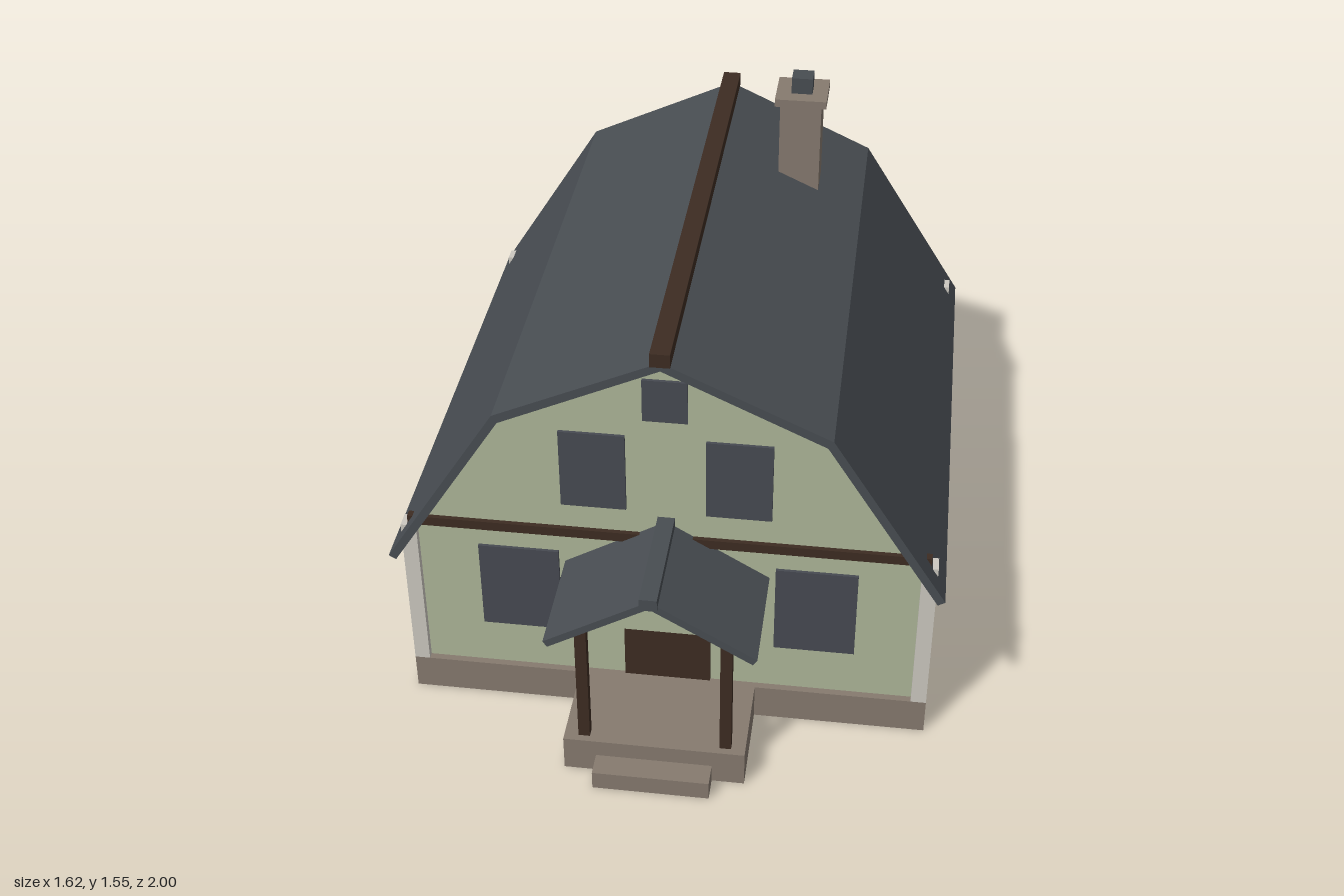
import * as THREE from 'three';

const mat = (name, color, side = THREE.FrontSide) => {
  const m = new THREE.MeshStandardMaterial({ color, side });
  m.name = name;
  return m;
};

export function createModel() {
  const house = new THREE.Group();
  house.name = 'house';
  const green = mat('wall green', 0xadb698);
  const slate = mat('roof slate', 0x484d52);
  const glass = mat('window glass', 0x474a52);
  const stone = mat('stone', 0x867a6f, THREE.DoubleSide);
  const wood = mat('dark wood', 0x3d2c22);
  const trim = mat('pale trim', 0xccc8c0);

  const add = (name, geometry, material) => {
    const mesh = new THREE.Mesh(geometry, material);
    mesh.name = name;
    house.add(mesh);
    return mesh;
  };

  // Box given by its limits on each axis
  const box = (name, material, x0, x1, y0, y1, z0, z1) => {
    const g = new THREE.BoxGeometry(x1 - x0, y1 - y0, z1 - z0);
    g.translate((x0 + x1) / 2, (y0 + y1) / 2, (z0 + z1) / 2);
    return add(name, g, material);
  };

  // Box without its bottom face
  const shell = (...args) => {
    const g = box(...args).geometry;
    const index = Array.from(g.index.array);
    index.splice(18, 6);
    g.setIndex(index);
    g.clearGroups();
  };

  // Profile in x and y, extruded along z
  const prism = (name, material, points, z0, z1) => {
    const shape = new THREE.Shape(points.map(([x, y]) => new THREE.Vector2(x, y)));
    const g = new THREE.ExtrudeGeometry(shape, { depth: z1 - z0, bevelEnabled: false });
    add(name, g.translate(0, 0, z0), material);
  };

  // Closes a right half profile with its mirror image
  const mirrored = (half) => [
    ...half,
    ...half.filter(([x]) => x > 0).reverse().map(([x, y]) => [-x, y]),
  ];

  // Roof outline: outer half from ridge to eave, inner half back to ridge
  const roofProfile = (outer, inner) => {
    const flip = (list) => list.slice(1).map(([x, y]) => [-x, y]);
    return [...flip(outer).reverse(), ...outer, ...[...inner].reverse(), ...flip(inner)];
  };

  // Foundation, porch floor and step
  shell('foundation', stone, -0.785, 0.785, 0, 0.115, -0.928, 0.643);
  shell('porchFloor', stone, -0.268, 0.268, 0, 0.115, 0.643, 0.928);
  shell('frontStep', stone, -0.172, 0.172, 0, 0.06, 0.928, 1.0);

  // Walls with both gables
  const front = 0.622, back = -0.91, side = 0.77;
  prism('walls', green, mirrored([
    [side, 0.115], [side, 0.594], [0.457, 1.086], [0, 1.299],
  ]), back, front);

  // Main gambrel roof and ridge beam
  prism('mainRoof', slate, roofProfile(
    [[0, 1.325], [0.472, 1.108], [0.81, 0.573]],
    [[0, 1.298], [0.457, 1.085], [0.789, 0.56]],
  ), -0.99, 0.706);
  box('ridgeBeam', wood, -0.028, 0.028, 1.315, 1.357, -1.0, 0.714);

  // Corner boards and the beam across the front
  for (const s of [-1, 1]) {
    for (const z of [0.618, -0.903]) {
      const x = s * 0.762;
      box('cornerPost', trim, x - 0.023, x + 0.023, 0.115, 0.64, z - 0.025, z + 0.025);
    }
  }
  box('frontBeam', wood, -0.765, 0.765, 0.64, 0.67, 0.612, 0.636);

  // Windows
  const t = 0.009;
  for (const s of [-1, 1]) {
    const pane = (c, w, y0, y1, z) =>
      box('window', glass, s * c - w / 2, s * c + w / 2, y0, y1, z, z + t);
    pane(0.44, 0.24, 0.275, 0.575, front);
    pane(0.21, 0.19, 0.755, 1.015, front);
    pane(0.385, 0.24, 0.275, 0.575, back - t);
    pane(0.21, 0.19, 0.755, 1.015, back - t);
    for (const z of [0.202, -0.488]) {
      const x = s * (side + t / 2);
      box('sideWindow', glass, x - t / 2, x + t / 2, 0.275, 0.575, z - 0.113, z + 0.113);
    }
  }
  box('atticWindow', glass, -0.064, 0.064, 1.075, 1.212, front, front + t);

  // Door
  box('frontDoor', wood, -0.13, 0.13, 0.115, 0.553, front, front + t);

  // Porch posts, gable and roof
  for (const x of [-0.209, 0.209]) {
    box('porchPost', wood, x - 0.017, x + 0.017, 0.115, 0.556, 0.878, 0.907);
  }
  prism('porchGable', green, mirrored([[0.226, 0.555], [0, 0.69]]), front, 0.91);
  prism('porchRoof', slate, roofProfile(
    [[0, 0.716], [0.302, 0.537]],
    [[0, 0.69], [0.29, 0.518]],
  ), front, 0.972);
  box('porchRidge', slate, -0.025, 0.025, 0.694, 0.732, front, 0.983);

  // Chimney
  box('chimneyStack', stone, 0.2, 0.33, 1.1, 1.475, -0.686, -0.556);
  box('chimneyCap', stone, 0.184, 0.346, 1.47, 1.495, -0.702, -0.54);
  box('chimneyFlue', slate, 0.232, 0.298, 1.495, 1.547, -0.653, -0.589);

  return house;
}
